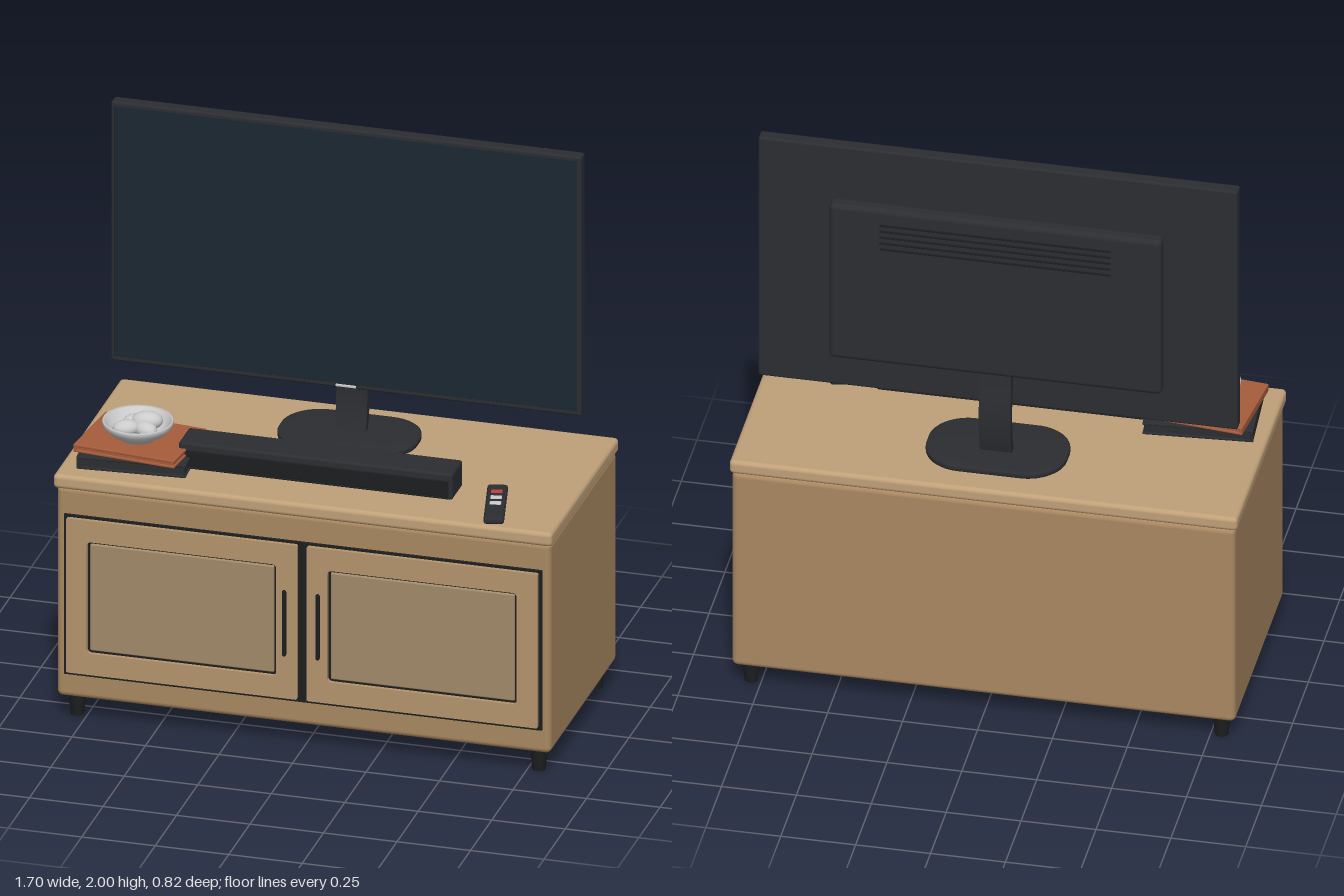
import * as THREE from 'three';
import { RoundedBoxGeometry } from 'three/addons/geometries/RoundedBoxGeometry.js';
import { toCreasedNormals } from 'three/addons/utils/BufferGeometryUtils.js';

const paint = (color, side = THREE.FrontSide) => new THREE.MeshStandardMaterial({ color, side });
const WOOD = paint(0xa98861), TOP = paint(0xbfa078), DOOR = paint(0xb3946c), PANEL = paint(0xa18a69);
const DARK = paint(0x2b2d31), BLACK = paint(0x1d1e21), SCREEN = paint(0x1c2731);
const CLAY = paint(0xa75c3c), GREY = paint(0xcccccc), BOWL = paint(0xcccccc, THREE.DoubleSide);

function add(parent, name, geometry, material, x = 0, y = 0, z = 0) {
  const mesh = new THREE.Mesh(geometry, material);
  mesh.name = name;
  mesh.position.set(x, y, z);
  parent.add(mesh);
  return mesh;
}

function group(parent, name, x = 0, y = 0, z = 0, turn = 0) {
  const g = new THREE.Group();
  g.name = name;
  g.position.set(x, y, z);
  g.rotation.y = turn;
  parent.add(g);
  return g;
}

// Rounded box given by its extents
function block(parent, name, material, [x0, x1], [y0, y1], [z0, z1], r = 0.005) {
  return add(parent, name, new RoundedBoxGeometry(x1 - x0, y1 - y0, z1 - z0, 3, r), material,
    (x0 + x1) / 2, (y0 + y1) / 2, (z0 + z1) / 2);
}

// Centred rounded rectangle outline
function roundRect(path, w, h, r) {
  const x = w / 2 - r, y = h / 2 - r;
  path.absarc(x, y, r, 0, Math.PI / 2);
  path.absarc(-x, y, r, Math.PI / 2, Math.PI);
  path.absarc(-x, -y, r, Math.PI, Math.PI * 1.5);
  path.absarc(x, -y, r, Math.PI * 1.5, Math.PI * 2);
  path.closePath();
  return path;
}

function buildCabinet(root) {
  const cabinet = group(root, 'cabinet');
  block(cabinet, 'cabinetBody', WOOD, [-0.84, 0.84], [0.08, 0.835], [-0.41, 0.372], 0.02);
  block(cabinet, 'cabinetTop', TOP, [-0.848, 0.848], [0.83, 0.88], [-0.412, 0.388], 0.015);
  block(cabinet, 'doorRecess', BLACK, [-0.813, 0.813], [0.165, 0.74], [0.35, 0.378], 0.002);

  for (const side of [-1, 1]) {
    const door = group(cabinet, side < 0 ? 'rightDoor' : 'leftDoor', side * 0.409, 0.4525, 0);
    // Frame with an opening, then an inset panel leaving a dark groove
    const frame = roundRect(new THREE.Shape(), 0.786, 0.553, 0.006);
    const hole = roundRect(new THREE.Path(), 0.644, 0.4, 0.014);
    hole.autoClose = true;
    frame.holes.push(hole);
    add(door, 'doorFrame', new THREE.ExtrudeGeometry(frame, { depth: 0.022, bevelEnabled: false, curveSegments: 4 }),
      DOOR, 0, 0.002, 0.37);
    block(door, 'doorPanel', PANEL, [-0.313, 0.313], [-0.189, 0.193], [0.36, 0.386], 0.005);

    // Bar handle on two posts
    const handle = group(cabinet, 'handle', side * 0.057, 0.4525, 0.402);
    add(handle, 'handleBar', new THREE.CapsuleGeometry(0.0075, 0.222, 4, 12), BLACK);
    for (const y of [-0.09, 0.09]) {
      add(handle, 'handlePost', new THREE.CylinderGeometry(0.005, 0.005, 0.018, 10), BLACK, 0, y, -0.009)
        .rotation.x = Math.PI / 2;
    }
    for (const z of [0.315, -0.355]) {
      add(cabinet, 'cabinetLeg', new THREE.CylinderGeometry(0.031, 0.022, 0.09, 20), BLACK, side * 0.785, 0.045, z);
    }
  }
}

function buildTelevision(root) {
  const tv = group(root, 'television');
  block(tv, 'screenHousing', DARK, [-0.8, 0.8], [1.07, 2], [-0.175, -0.129], 0.008);
  block(tv, 'screenGlass', SCREEN, [-0.786, 0.786], [1.088, 1.986], [-0.14, -0.127], 0.001);
  block(tv, 'indicatorStrip', GREY, [-0.035, 0.035], [1.075, 1.084], [-0.135, -0.126], 0.002);
  block(tv, 'rearHousing', DARK, [-0.555, 0.555], [1.2, 1.8], [-0.221, -0.165], 0.018);
  for (let i = 0; i < 5; i++) {
    const y = 1.65 + i * 0.023;
    block(tv, 'ventSlat', BLACK, [-0.385, 0.385], [y - 0.004, y + 0.004], [-0.224, -0.215], 0.002);
  }

  // Curved neck: a side profile of even thickness, extruded across x
  const curve = new THREE.CatmullRomCurve3([[-0.188, 0.89], [-0.206, 0.96], [-0.213, 1.05], [-0.202, 1.17], [-0.197, 1.24]]
    .map(([z, y]) => new THREE.Vector3(z, y, 0)));
  const front = [], back = [];
  for (let i = 0; i <= 16; i++) {
    const p = curve.getPoint(i / 16), t = curve.getTangent(i / 16);
    front.push(new THREE.Vector2(p.x + t.y * 0.014, p.y - t.x * 0.014));
    back.unshift(new THREE.Vector2(p.x - t.y * 0.014, p.y + t.x * 0.014));
  }
  const neck = new THREE.ExtrudeGeometry(new THREE.Shape([...front, ...back]), { depth: 0.106, bevelEnabled: false });
  neck.translate(0, 0, -0.053).rotateY(-Math.PI / 2);
  add(tv, 'standNeck', toCreasedNormals(neck, 0.6), DARK);

  const base = new THREE.ExtrudeGeometry(roundRect(new THREE.Shape(), 0.458, 0.284, 0.125), {
    depth: 0.012, bevelThickness: 0.005, bevelSize: 0.006, bevelSegments: 3, curveSegments: 16,
  });
  base.rotateX(-Math.PI / 2);
  add(tv, 'standBase', toCreasedNormals(base, 0.6), DARK, 0, 0.884, -0.171);
}

function buildSoundbar(root) {
  const bar = group(root, 'soundbar');
  block(bar, 'soundbarBody', DARK, [-0.468, 0.464], [0.88, 0.974], [0.1, 0.226], 0.01);
  block(bar, 'soundbarGrille', BLACK, [-0.456, 0.452], [0.89, 0.95], [0.215, 0.229], 0.004);
}

// Closed book: two covers, a spine and a slightly inset block of pages
function buildBook(parent, name, material, w, d, h, y, turn) {
  const book = group(parent, name, -0.614, y, 0.172, turn);
  const x = w / 2, z = d / 2, c = Math.min(0.009, h / 3);
  block(book, 'lowerCover', material, [-x, x], [0, c], [-z, z], 0.003);
  block(book, 'upperCover', material, [-x, x], [h - c, h], [-z, z], 0.003);
  block(book, 'bookSpine', material, [-x, -x + 0.01], [0, h], [-z, z], 0.003);
  block(book, 'pages', material, [-x + 0.005, x - 0.005], [c / 2, h - c / 2], [-z + 0.005, z - 0.005], 0.002);
}

function buildBowl(parent) {
  const bowl = group(parent, 'bowl', -0.618, 0.952, 0.18);
  const profile = [[0, 0], [0.06, 0], [0.064, 0.008], [0.092, 0.022], [0.112, 0.042], [0.118, 0.058], [0.115, 0.065],
    [0.108, 0.062], [0.098, 0.042], [0.078, 0.024], [0.05, 0.015], [0, 0.013]];
  add(bowl, 'bowlShell', new THREE.LatheGeometry(profile.map(p => new THREE.Vector2(...p)), 40), BOWL);
  // Smooth pebbles: x, y, z, length, turn
  const pebbles = [[0.025, 0.055, -0.022, 0.052, 0.2], [-0.03, 0.047, 0.036, 0.045, 0.5],
    [0.03, 0.042, 0.018, 0.045, -0.5], [-0.024, 0.043, -0.025, 0.042, 1.1], [0.0, 0.04, 0.01, 0.04, 0]];
  for (const [x, y, z, r, turn] of pebbles) {
    const pebble = add(bowl, 'pebble', new THREE.SphereGeometry(r, 20, 14), GREY, x, y, z);
    pebble.scale.set(1, 0.6, 0.72);
    pebble.rotation.y = turn;
  }
}

function buildRemote(root) {
  const remote = group(root, 'remoteControl', 0.615, 0.88, 0.236, 0.23);
  block(remote, 'remoteBody', DARK, [-0.034, 0.034], [0, 0.024], [-0.137, 0.137], 0.01);
  [paint(0xb8433a), GREY, GREY].forEach((material, i) => {
    const z = -0.073 + i * 0.046;
    block(remote, 'remoteButton', material, [-0.019, 0.019], [0.018, 0.028], [z - 0.011, z + 0.011], 0.003);
  });
}

export function createModel() {
  const root = new THREE.Group();
  root.name = 'televisionCabinet';
  buildCabinet(root);
  buildTelevision(root);
  buildSoundbar(root);
  const decor = group(root, 'booksAndBowl');
  buildBook(decor, 'lowerBook', DARK, 0.365, 0.277, 0.045, 0.88, 0.07);
  buildBook(decor, 'upperBook', CLAY, 0.357, 0.28, 0.028, 0.925, -0.11);
  buildBowl(decor);
  buildRemote(root);
  return root;
}
